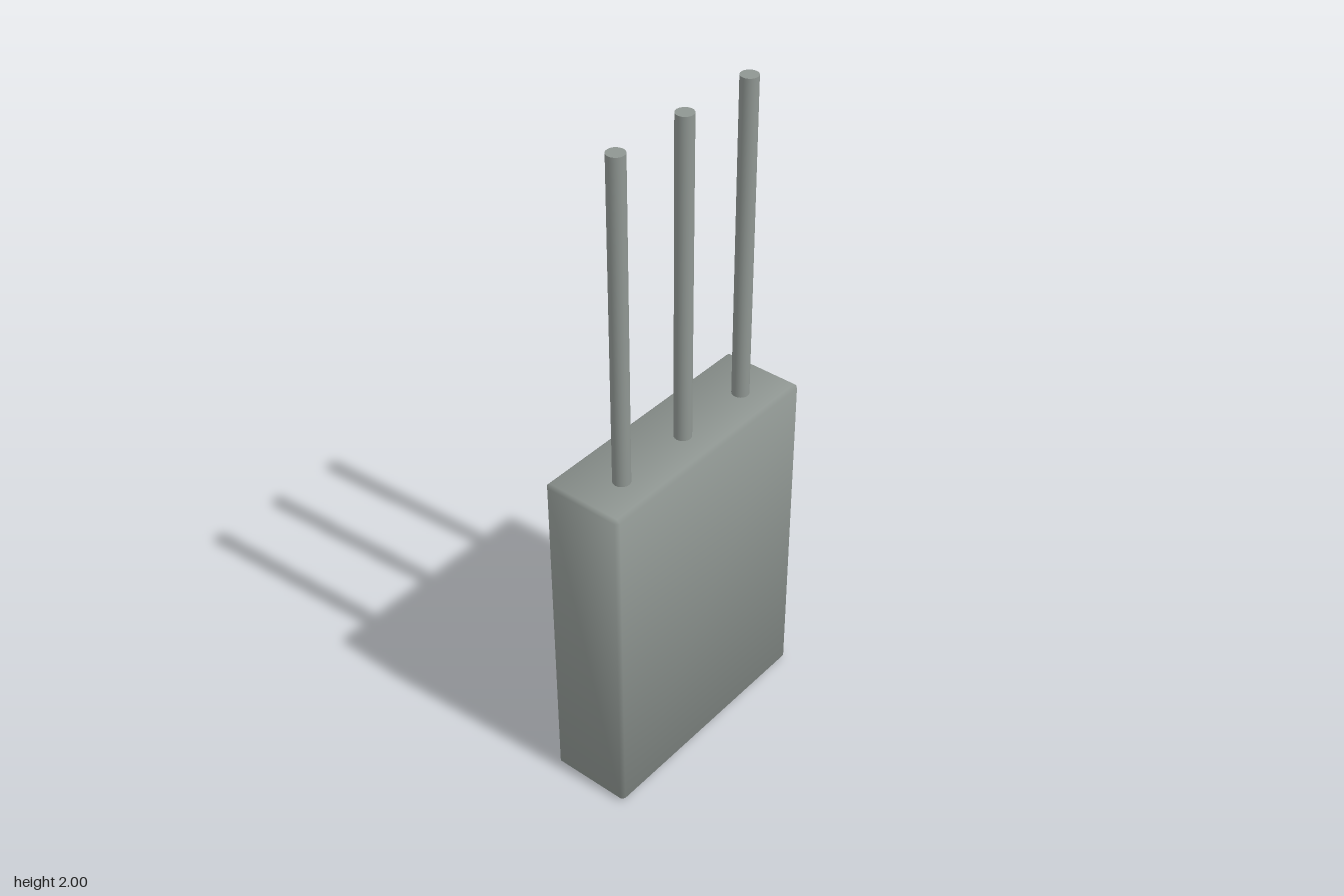
import * as THREE from 'three';
import { ConvexGeometry } from 'three/addons/geometries/ConvexGeometry.js';

const mat = (name, color) => {
  const m = new THREE.MeshStandardMaterial({ color });
  m.name = name;
  return m;
};

// Box with chamfered edges and soft normals that lean outwards at the corners
function chamferedBox(w, h, d, c) {
  const half = [w / 2, h / 2, d / 2];
  const points = [];
  for (const sx of [-1, 1]) for (const sy of [-1, 1]) for (const sz of [-1, 1])
    for (let axis = 0; axis < 3; axis++) {
      const p = [sx, sy, sz].map((s, i) => s * (half[i] - (i === axis ? 0 : c)));
      points.push(new THREE.Vector3(...p));
    }
  const geo = new ConvexGeometry(points);
  const pos = geo.attributes.position, nor = geo.attributes.normal;
  const n = new THREE.Vector3();
  for (let i = 0; i < pos.count; i++) {
    const p = [pos.getX(i), pos.getY(i), pos.getZ(i)];
    n.set(...p.map((v, k) => Math.sign(v) * (Math.abs(v) > half[k] - c / 2 ? 1 : 0.43))).normalize();
    nor.setXYZ(i, n.x, n.y, n.z);
  }
  return geo;
}

export function createModel() {
  const group = new THREE.Group();
  const grey = mat('grey metal', 0x8f9692);
  const yellow = mat('yellow sign', 0xc4ae52);
  const red = mat('red lamp', 0xd75f4e);

  const add = (name, geo, material, x, y, z) => {
    const mesh = new THREE.Mesh(geo, material);
    mesh.name = name;
    mesh.position.set(x, y, z);
    group.add(mesh);
    return mesh;
  };

  // Cabinet and the door on its back
  add('cabinet', chamferedBox(0.77, 1.04, 0.248, 0.01), grey, 0, 0.52, 0.029);
  add('door', chamferedBox(0.7, 0.97, 0.044, 0.006), grey, 0, 0.525, -0.095);

  // Conduits rising from the top
  for (const x of [-0.25, 0, 0.25])
    add('conduit', new THREE.CylinderGeometry(0.025, 0.025, 0.98, 20), grey, x, 1.51, 0.052);

  // Door handle
  add('handle', new THREE.BoxGeometry(0.043, 0.16, 0.042), grey, 0.272, 0.52, -0.136);

  // Diamond warning plate
  const diamond = new THREE.Shape();
  diamond.moveTo(0.127, 0);
  diamond.lineTo(0, 0.119);
  diamond.lineTo(-0.127, 0);
  diamond.lineTo(0, -0.119);
  diamond.closePath();
  const plate = new THREE.ExtrudeGeometry(diamond, { depth: 0.012, bevelEnabled: false });
  add('warningPlate', plate, yellow, 0, 0.718, -0.128);

  // Indicator lamp
  const lamp = add('lamp', new THREE.CylinderGeometry(0.0195, 0.0195, 0.024, 16), red, -0.205, 0.866, -0.128);
  lamp.rotation.x = Math.PI / 2;

  return group;
}
